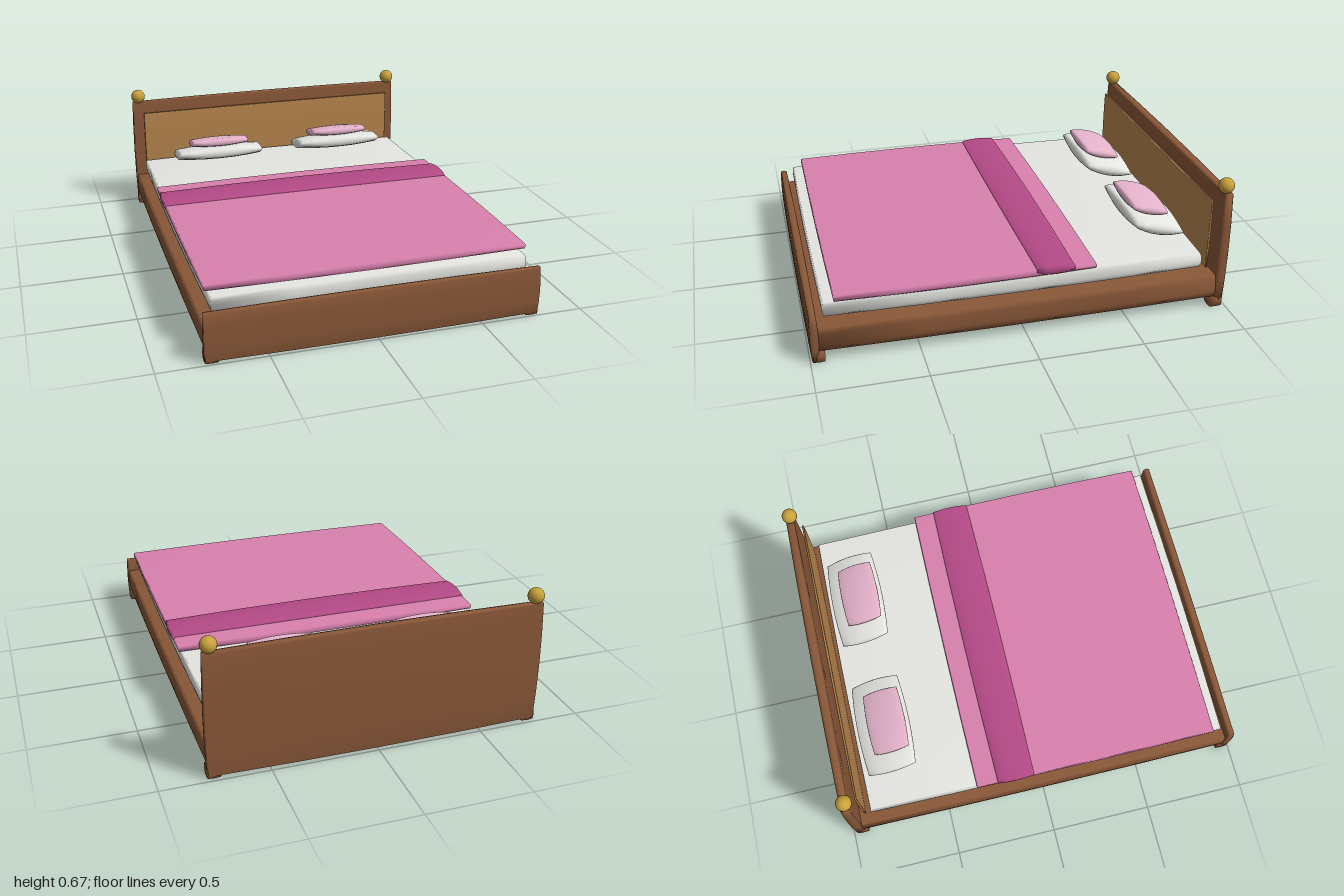
import * as THREE from 'three';
import { mergeVertices } from 'three/addons/utils/BufferGeometryUtils.js';

const wood = new THREE.MeshStandardMaterial({ color: 0x8a5838 });
const panelWood = new THREE.MeshStandardMaterial({ color: 0xb8864e });
const brass = new THREE.MeshStandardMaterial({ color: 0xc9a23c });
const linen = new THREE.MeshStandardMaterial({ color: 0xe6e6e2 });
const pink = new THREE.MeshStandardMaterial({ color: 0xd981ae });
const deepPink = new THREE.MeshStandardMaterial({ color: 0xb44a86 });
const palePink = new THREE.MeshStandardMaterial({ color: 0xe6b4cc });

// Box whose six faces swell by `bulge` at their middle, with soft shared normals
function softBox(w, h, d, bulge, segs = 4) {
  let g = new THREE.BoxGeometry(2, 2, 2, segs, segs, segs);
  g.deleteAttribute('normal');
  g.deleteAttribute('uv');
  g = mergeVertices(g);
  const half = [w / 2, h / 2, d / 2];
  const p = g.attributes.position;
  for (let i = 0; i < p.count; i++) {
    const u = [p.getX(i), p.getY(i), p.getZ(i)];
    const sq = u.map((v) => v * v);
    const sum = sq[0] + sq[1] + sq[2];
    const v = u.map((c, k) => c * (half[k] - (Math.min(bulge, half[k] * 0.6) * (sum - sq[k])) / 2));
    p.setXYZ(i, v[0], v[1], v[2]);
  }
  g.computeVertexNormals();
  return g;
}

export function createModel() {
  const bed = new THREE.Group();
  bed.name = 'bed';

  // Adds a soft box from its [min, max] ranges
  function add(name, mat, [x0, x1], [y0, y1], [z0, z1], bulge, segs) {
    const m = new THREE.Mesh(softBox(x1 - x0, y1 - y0, z1 - z0, bulge, segs), mat);
    m.position.set((x0 + x1) / 2, (y0 + y1) / 2, (z0 + z1) / 2);
    m.name = name;
    bed.add(m);
    return m;
  }

  // Frame
  add('base', wood, [-0.785, 0.785], [0.05, 0.18], [-0.96, 0.97], 0.008);
  add('headboard', wood, [-0.788, 0.788], [0.004, 0.61], [-0.995, -0.935], 0.01);
  add('headPanel', panelWood, [-0.73, 0.73], [0.19, 0.55], [-0.92, -0.903], 0.004);
  add('footboard', wood, [-0.788, 0.788], [0.004, 0.243], [0.952, 1], 0.008);

  // Feet and the knobs on the headboard corners
  for (const s of [-1, 1]) {
    const xs = s > 0 ? [0.72, 0.785] : [-0.785, -0.72];
    add('frontFoot', wood, xs, [0, 0.055], [0.93, 0.992], 0.003, 2);
    add('backFoot', wood, xs, [0, 0.055], [-0.985, -0.92], 0.003, 2);
    const knob = new THREE.Mesh(new THREE.SphereGeometry(0.038, 24, 16), brass);
    knob.name = 'knob';
    knob.position.set(s * 0.75, 0.635, -0.96);
    bed.add(knob);
  }

  // Bedding
  add('mattress', linen, [-0.745, 0.745], [0.195, 0.29], [-0.885, 0.935], 0.012);
  add('duvet', pink, [-0.762, 0.762], [0.28, 0.322], [-0.345, 0.882], 0.008);
  add('duvetFold', deepPink, [-0.767, 0.767], [0.28, 0.336], [-0.243, -0.045], 0.012);

  // Tilted pillows with a small cushion on each
  for (const x of [-0.347, 0.347]) {
    const pillow = new THREE.Group();
    pillow.name = 'pillow';
    const big = new THREE.Mesh(softBox(0.485, 0.083, 0.272, 0.025, 6), linen);
    big.name = 'pillowBody';
    const small = new THREE.Mesh(softBox(0.322, 0.056, 0.195, 0.016, 6), palePink);
    small.name = 'cushion';
    small.position.set(0, 0.058, 0.035);
    pillow.add(big, small);
    pillow.rotation.x = -0.25;
    pillow.position.set(x, 0.346, -0.727);
    bed.add(pillow);
  }
  return bed;
}
